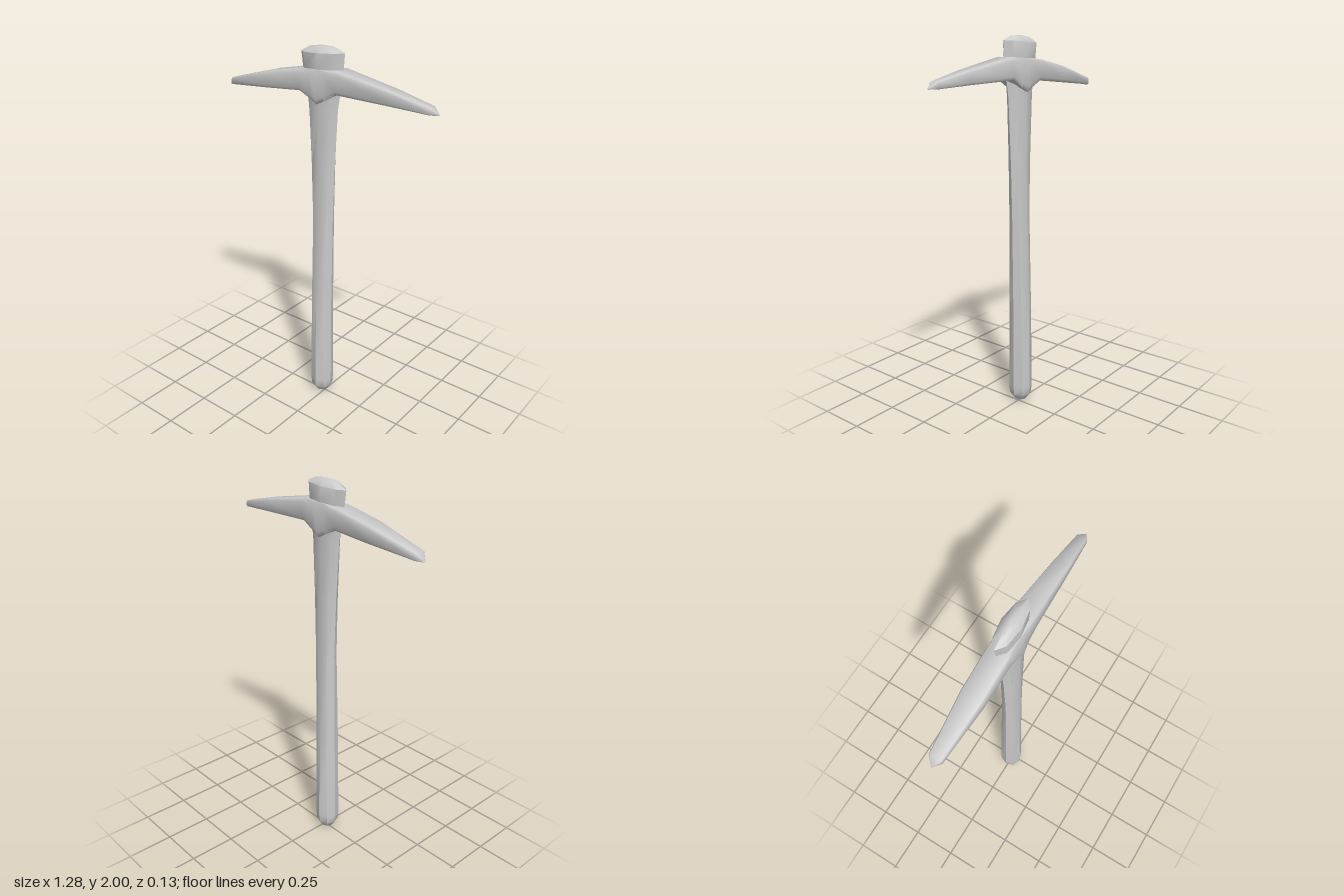
import * as THREE from 'three';
import { toCreasedNormals } from 'three/addons/utils/BufferGeometryUtils.js';

// Skin a list of rings; each ring runs counter-clockwise seen from the far end.
function loft(rings, crease) {
  const n = rings[0].length, index = [];
  for (let i = 0; i < rings.length - 1; i++) {
    for (let j = 0; j < n; j++) {
      const a = i * n + j, b = i * n + (j + 1) % n, c = b + n, d = a + n;
      if (i > 0) index.push(a, b, c);
      else { index.push(a, c, d); continue; }
      if (i < rings.length - 2) index.push(a, c, d);
    }
  }
  const geometry = new THREE.BufferGeometry().setFromPoints(rings.flat());
  geometry.setIndex(index);
  return toCreasedNormals(geometry, crease);
}

// Horizontal oval ring, optionally tilted along x.
function oval(y, x, rx, rz, tilt = 0) {
  return Array.from({ length: 8 }, (_, k) => {
    const a = k * Math.PI / 4;
    return new THREE.Vector3(x + rx * Math.cos(a), y + tilt * Math.cos(a), -rz * Math.sin(a));
  });
}

// Upright ring of the head: a box with softened corners.
function block(x, bottom, top, zTop, zBottom = zTop) {
  const h = top - bottom;
  return [
    [top, -0.86 * zTop], [top, 0.86 * zTop], [top - 0.15 * h, zTop], [bottom + 0.15 * h, zBottom],
    [bottom, 0.86 * zBottom], [bottom, -0.86 * zBottom], [bottom + 0.15 * h, -zBottom], [top - 0.15 * h, -zTop],
  ].map(([y, z]) => new THREE.Vector3(x, y, z));
}

export function createModel() {
  const model = new THREE.Group();
  const material = new THREE.MeshStandardMaterial({ color: 0xcccccc });
  const add = (name, geometry) => {
    const mesh = new THREE.Mesh(geometry, material);
    mesh.name = name;
    model.add(mesh);
  };

  // Handle: rounded foot, slim waist, flared eye end with a low domed top
  add('handle', loft([
    oval(0, -0.02, 0, 0),
    oval(0.015, -0.02, 0.035, 0.036),
    oval(0.05, -0.02, 0.06, 0.06),
    oval(0.1, -0.02, 0.063, 0.065),
    oval(0.6, -0.017, 0.061, 0.057),
    oval(1.1, -0.009, 0.061, 0.047),
    oval(1.4, -0.009, 0.072, 0.044),
    oval(1.7, -0.01, 0.09, 0.042),
    oval(1.78, -0.009, 0.102, 0.042),
    oval(1.89, -0.012, 0.123, 0.045),
    oval(1.967, -0.013, 0.132, 0.047, 0.008),
    oval(1.992, -0.012, 0.075, 0.025, 0.003),
    oval(2, -0.01, 0, 0),
  ], 0.75));

  // Head: curved two-ended pick whose underside drops to a point at the handle
  add('pickHead', loft([
    block(-0.638, 1.725, 1.725, 0),
    block(-0.6, 1.731, 1.766, 0.032),
    block(-0.32, 1.758, 1.842, 0.055),
    block(-0.12, 1.776, 1.882, 0.056),
    block(-0.05, 1.745, 1.888, 0.056, 0.057),
    block(-0.01, 1.725, 1.89, 0.056, 0.064),
    block(0.03, 1.745, 1.892, 0.056, 0.057),
    block(0.1, 1.786, 1.896, 0.056),
    block(0.4, 1.778, 1.844, 0.04),
    block(0.595, 1.77, 1.802, 0.026),
    block(0.638, 1.77, 1.77, 0),
  ], 1.15));

  return model;
}
